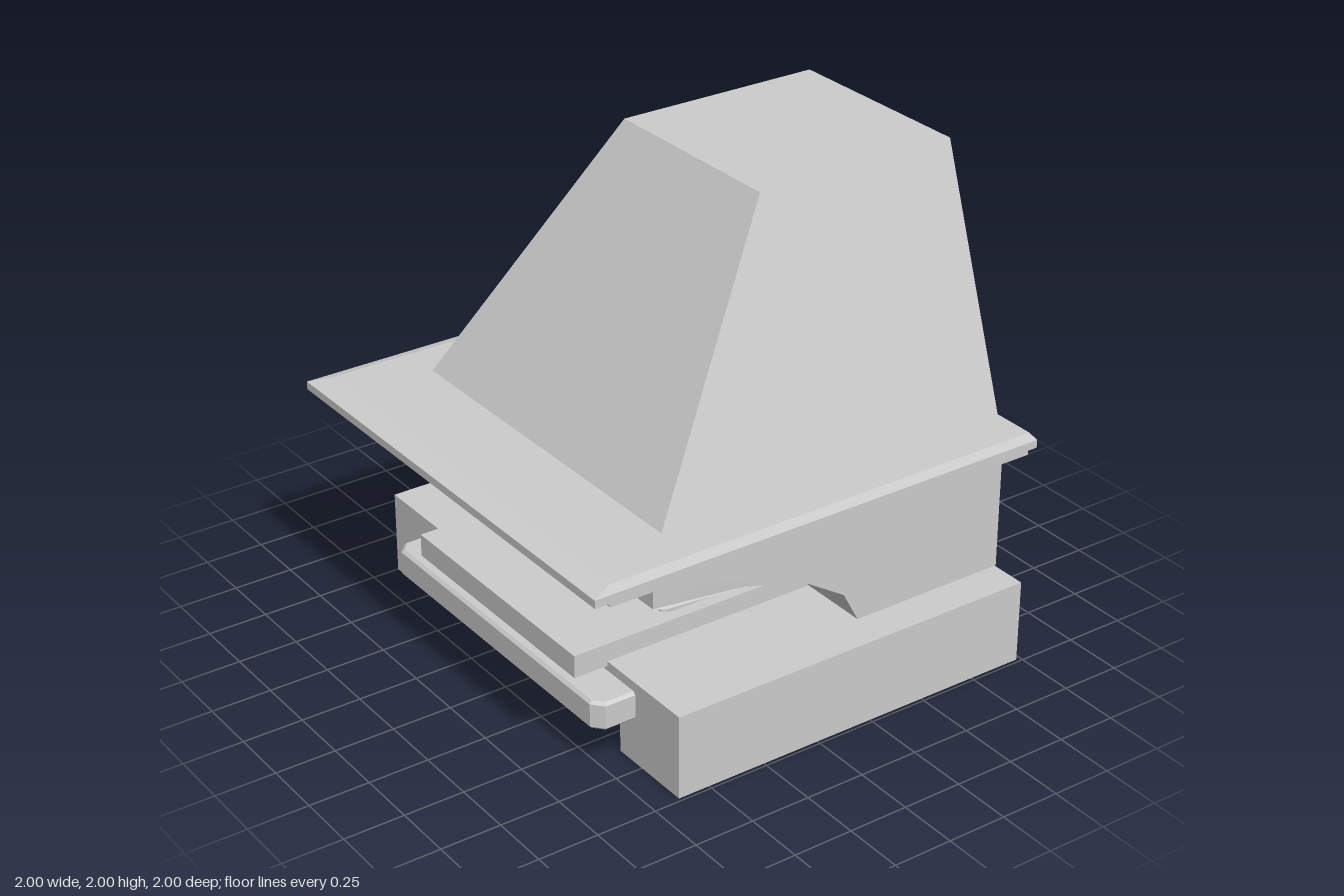
import * as THREE from 'three';
import { toCreasedNormals } from 'three/addons/utils/BufferGeometryUtils.js';

const grey = new THREE.MeshStandardMaterial({ color: 0xcccccc });
const greyDouble = new THREE.MeshStandardMaterial({ color: 0xcccccc, side: THREE.DoubleSide });

// Skin between rings of points, with flat end caps
function loft(rings, capStart = true, capEnd = true) {
  const n = rings[0].length;
  const pos = [];
  const tri = (a, b, c) => pos.push(...a, ...b, ...c);
  for (let r = 0; r < rings.length - 1; r++) {
    for (let i = 0; i < n; i++) {
      const j = (i + 1) % n;
      const [a, b, c, d] = [rings[r][i], rings[r][j], rings[r + 1][j], rings[r + 1][i]];
      tri(a, b, c);
      tri(a, c, d);
    }
  }
  const first = rings[0], last = rings[rings.length - 1];
  for (let i = 1; i < n - 1; i++) {
    if (capStart) tri(first[0], first[i + 1], first[i]);
    if (capEnd) tri(last[0], last[i], last[i + 1]);
  }
  const g = new THREE.BufferGeometry();
  g.setAttribute('position', new THREE.Float32BufferAttribute(pos, 3));
  g.computeVertexNormals();
  return g;
}

const levelRing = (y, x0, x1, z0, z1) => [[x1, y, z1], [x1, y, z0], [x0, y, z0], [x0, y, z1]];
const polygon = (pts) => new THREE.Shape(pts.map(([x, y]) => new THREE.Vector2(x, y)));
const extrude = (shape, depth, extra = {}) =>
  new THREE.ExtrudeGeometry(shape, { depth, bevelEnabled: false, ...extra });

export function createModel() {
  const model = new THREE.Group();
  const add = (name, geometry, material = grey, parent = model) => {
    const mesh = new THREE.Mesh(geometry, material);
    mesh.name = name;
    parent.add(mesh);
    return mesh;
  };
  const box = (name, x0, x1, y0, y1, z0, z1, parent = model) => {
    const g = new THREE.BoxGeometry(x1 - x0, y1 - y0, z1 - z0);
    g.translate((x0 + x1) / 2, (y0 + y1) / 2, (z0 + z1) / 2);
    return add(name, g, grey, parent);
  };

  // Plinth with a recess underneath, open at the front
  const base = new THREE.Group();
  base.name = 'base';
  model.add(base);
  box('baseTop', -1, 0.985, 0.17, 0.35, -0.98, 0.635, base);
  box('baseRight', -1, -0.63, 0, 0.17, -0.98, 0.635, base);
  box('baseLeft', 0.61, 0.985, 0, 0.17, -0.98, 0.635, base);
  box('baseBack', -0.63, 0.61, 0, 0.17, -0.98, -0.8, base);

  // Hearth slab
  box('hearthSlab', -0.55, 0.53, 0.33, 0.425, -0.99, 0.78);

  // Bevelled ledge on the plinth front
  const b = 0.012;
  const ledge = extrude(
    polygon([[-0.698, 0.6], [0.698, 0.6], [0.698, 0.76], [0.66, 0.793], [-0.66, 0.793], [-0.698, 0.76]]),
    0.12 - 2 * b, { bevelEnabled: true, bevelThickness: b, bevelSize: b, bevelSegments: 1 });
  ledge.rotateX(Math.PI / 2);
  ledge.translate(0, 0.31 - b, 0);
  add('frontLedge', ledge);

  // Side walls whose upper part reaches forward over an arch
  const wing = new THREE.Shape();
  wing.moveTo(-0.985, 0.35);
  wing.lineTo(-0.3, 0.35);
  [[-0.23, 0.48], [-0.04, 0.6], [0.24, 0.68], [0.58, 0.705], [0.63, 0.715],
    [0.63, 0.86], [0.58, 0.87], [-0.985, 0.87]].forEach(([z, y]) => wing.lineTo(z, y));
  for (const [name, x0, x1] of [['rightWall', -0.84, -0.437], ['leftWall', 0.428, 0.83]]) {
    const g = extrude(wing, x1 - x0);
    g.rotateY(-Math.PI / 2);
    g.translate(x1, 0, 0);
    // Taper the nose slightly
    const p = g.attributes.position;
    const mid = (x0 + x1) / 2;
    for (let i = 0; i < p.count; i++) {
      if (p.getZ(i) > 0.6) p.setX(i, p.getX(i) - Math.sign(p.getX(i) - mid) * 0.015);
    }
    add(name, toCreasedNormals(g, 0.6));
  }

  // Firebox surround with an eight-sided opening
  const mouth = [[0.36, 0.427], [0.4, 0.46], [0.4, 0.775], [0.31, 0.83],
    [-0.31, 0.83], [-0.4, 0.775], [-0.4, 0.46], [-0.36, 0.427]];
  const surround = polygon([[-0.437, 0.425], [0.43, 0.425], [0.43, 0.872], [-0.437, 0.872]]);
  surround.holes.push(new THREE.Path(mouth.map(([x, y]) => new THREE.Vector2(x, y))));
  const surroundGeo = extrude(surround, 0.805);
  surroundGeo.translate(0, 0, -0.46);
  add('fireboxSurround', surroundGeo);
  box('fireboxBack', -0.437, 0.43, 0.425, 0.872, -0.99, -0.46);

  // Lining that narrows towards the back
  const inner = mouth.map(([x, y]) => [Math.sign(x) * 0.31, y > 0.6 ? 0.77 : 0.428, -0.45]);
  add('fireboxLining', loft([mouth.map(([x, y]) => [x, y, 0.345]), inner], false, true), greyDouble);

  // Low cheeks beside the firebox
  for (const s of [-1, 1]) {
    const pts = [[0.42, 0.345], [0.457, 0.345], [0.48, 0.31], [0.48, -0.35], [0.42, -0.35]];
    const g = extrude(polygon(pts.map(([x, z]) => [s * x, z])), 0.265);
    g.rotateX(Math.PI / 2);
    g.translate(0, 0.69, 0);
    add(s < 0 ? 'rightCheek' : 'leftCheek', g);
  }

  // Grate of pointed bars
  const grate = new THREE.Group();
  grate.name = 'grate';
  model.add(grate);
  const section = [[-0.013, 0], [0.013, 0], [0.013, 0.042], [0, 0.062], [-0.013, 0.042]];
  const barRing = (z, k) => section.map(([x, y]) => [x * k, 0.025 + (y - 0.025) * k, z]);
  const bar = loft([barRing(-0.45, 1), barRing(0.22, 1), barRing(0.27, 0.3)]);
  for (let i = 0; i < 8; i++) {
    add('grateBar', bar, grey, grate).position.set(-0.3 + i * 0.0857, 0.427, 0);
  }

  // Moulded mantel shelf: height, half width, front depth
  const mantel = [[0.875, 0.92, 0.83], [0.89, 0.955, 0.905], [0.908, 0.955, 0.915], [0.91, 0.93, 0.9],
    [0.922, 0.965, 0.945], [0.94, 1, 1], [0.973, 1, 1], [0.985, 0.955, 0.91]];
  add('mantelShelf', loft(mantel.map(([y, x, z]) => levelRing(y, -x, x, -1, z))));

  // Tapered chimney hood
  add('chimneyHood', loft([levelRing(0.983, -0.78, 0.775, -1, 0.565), levelRing(2, -0.43, 0.425, -1, -0.115)]));

  return model;
}
